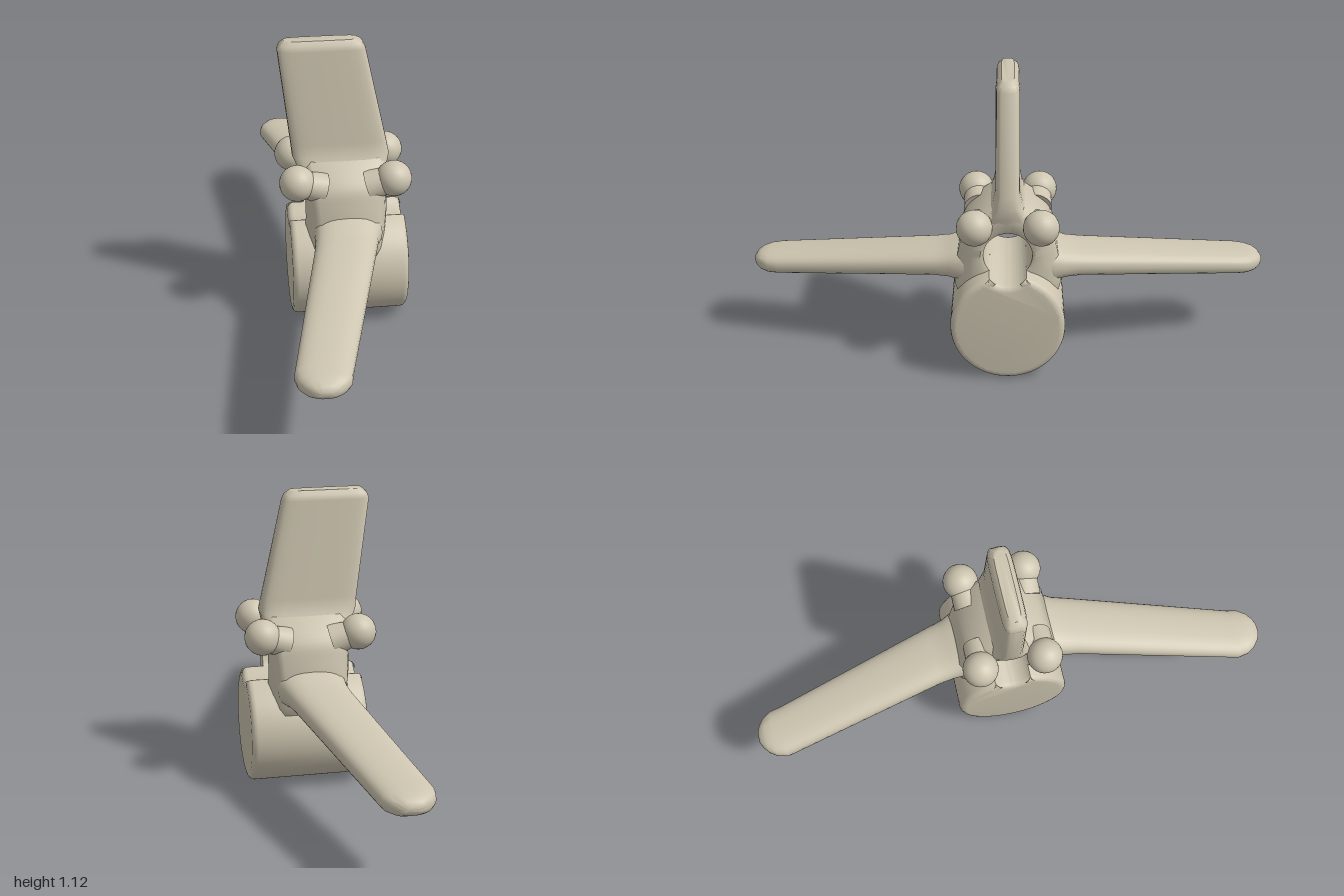
import * as THREE from 'three';
import { toCreasedNormals } from 'three/addons/utils/BufferGeometryUtils.js';

const stone = new THREE.MeshStandardMaterial({ color: 0xcdc5b0 });
stone.name = 'warm stone';

const BORE_Y = 0.48, BORE_R = 0.09;

// Skin a series of equal-length point loops; either capped at the ends or closed in a ring.
function loft(loops, ring, crease) {
  const n = loops[0].length, m = loops.length;
  const pos = [], idx = [];
  loops.forEach(l => l.forEach(p => pos.push(p.x, p.y, p.z)));
  for (let i = 0; i < (ring ? m : m - 1); i++) {
    const a = i * n, b = ((i + 1) % m) * n;
    for (let j = 0; j < n; j++) {
      const k = (j + 1) % n;
      idx.push(a + j, a + k, b + k, a + j, b + k, b + j);
    }
  }
  if (!ring) {
    const e = (m - 1) * n;
    for (let j = 1; j < n - 1; j++) idx.push(0, j + 1, j, e, e + j, e + j + 1);
  }
  const g = new THREE.BufferGeometry();
  g.setAttribute('position', new THREE.Float32BufferAttribute(pos, 3));
  g.setIndex(idx);
  return toCreasedNormals(g, crease);
}

// Rounded section: centre, half chord vector, half thickness vector, squareness.
function section(c, a, b, power) {
  const pts = [];
  for (let i = 0; i < 28; i++) {
    const t = (i / 28) * Math.PI * 2;
    const f = v => Math.sign(v) * Math.pow(Math.abs(v), 2 / power);
    pts.push(c.clone().addScaledVector(a, f(Math.cos(t))).addScaledVector(b, f(Math.sin(t))));
  }
  return pts;
}

const V = (x, y, z) => new THREE.Vector3(x, y, z);

// Upright fin: y, left x, right x, half thickness
function finGeometry() {
  const rows = [
    [0.585, -0.15, 0.16, 0.11], [0.63, -0.165, 0.17, 0.08], [0.67, -0.183, 0.18, 0.056],
    [0.72, -0.188, 0.17, 0.046], [1.09, -0.23, 0.09, 0.044],
    [1.11, -0.222, 0.08, 0.04], [1.125, -0.205, 0.06, 0.024],
  ];
  return loft(rows.map(([y, l, r, t]) =>
    section(V((l + r) / 2, y, 0), V((r - l) / 2, 0, 0), V(0, 0, -t), 5)), false, 0.7);
}

// Swept wing: distance out, centre x, centre y, half chord, half thickness
function wingGeometry(side) {
  const rows = [
    [0.12, 0.01, 0.415, 0.13, 0.085], [0.18, 0.01, 0.41, 0.127, 0.075], [0.22, 0.0, 0.405, 0.118, 0.06],
    [0.28, -0.012, 0.4, 0.115, 0.053], [0.9, -0.158, 0.317, 0.098, 0.044],
    [0.94, -0.158, 0.316, 0.09, 0.041], [0.97, -0.158, 0.316, 0.07, 0.035],
    [0.99, -0.158, 0.316, 0.045, 0.024], [1.0, -0.158, 0.316, 0.022, 0.01],
  ];
  return loft(rows.map(([z, x, y, c, t]) =>
    section(V(x, y, z * side), V(c, 0, 0), V(0, t * side, 0), 2.6)), false, 0.9);
}

// Hub wrapped around the bore; outline points are z, y, half width
function hubGeometry() {
  const half = [
    [0, 0.69, 0.165], [0.05, 0.665, 0.16], [0.11, 0.625, 0.15], [0.155, 0.58, 0.14],
    [0.175, 0.52, 0.13], [0.19, 0.45, 0.125], [0.2, 0.38, 0.125], [0.19, 0.32, 0.13],
    [0.14, 0.26, 0.14], [0, 0.22, 0.15],
  ];
  const full = half.concat(half.slice(1, -1).reverse().map(([z, y, w]) => [-z, y, w]));
  const curve = new THREE.CatmullRomCurve3(full.map(([z, y, w]) => V(w, y, z)), true);
  const loops = [];
  for (let i = 0; i < 64; i++) {
    const p = curve.getPoint(i / 64);
    const dy = p.y - BORE_Y, len = Math.hypot(p.z, dy);
    const at = (t, x) => {
      const r = BORE_R + 0.001 + (len - BORE_R) * t;
      return V(0.01 + x, BORE_Y + (dy / len) * r, (p.z / len) * r);
    };
    const w = p.x;
    loops.push([
      at(0, -0.145), at(0, 0.145), at(0.12, 0.152), at(0.5, (0.152 + w) / 2),
      at(0.85, w * 0.95), at(1, w * 0.8), at(1, -w * 0.8), at(0.85, -w * 0.95),
      at(0.5, -(0.152 + w) / 2), at(0.12, -0.152),
    ]);
  }
  return loft(loops, true, 0.9);
}

// Drum lying along x, with its top notched by the bore
function drumGeometry() {
  const s = new THREE.Shape();
  s.absarc(0, 0.217, 0.215, Math.PI / 2 + 0.325, Math.PI * 2.5 - 0.325, false);
  s.absarc(0, BORE_Y, BORE_R, -Math.PI / 2 + 0.87, -Math.PI / 2 - 0.87, true);
  const bevel = 0.022;
  const g = new THREE.ExtrudeGeometry(s, {
    depth: 0.44 - bevel * 2, curveSegments: 40, bevelEnabled: true,
    bevelThickness: bevel, bevelSize: bevel, bevelOffset: -bevel, bevelSegments: 3,
  });
  g.translate(0, 0, -0.2 + bevel);
  g.rotateY(Math.PI / 2);
  return toCreasedNormals(g, 0.6);
}

export function createModel() {
  const model = new THREE.Group();
  model.name = 'finnedRotor';
  const add = (name, geometry) => {
    const mesh = new THREE.Mesh(geometry, stone);
    mesh.name = name;
    model.add(mesh);
    return mesh;
  };

  add('drum', drumGeometry());
  add('hub', hubGeometry());
  add('topFin', finGeometry());
  add('frontWing', wingGeometry(1));
  add('backWing', wingGeometry(-1));

  // Four corner knobs on short necks
  for (const sx of [-1, 1]) {
    for (const sz of [-1, 1]) {
      const centre = V(sx * 0.179 + 0.006, 0.608, sz * 0.122);
      const root = V(sx * 0.085 + 0.008, 0.575, sz * 0.108);
      const label = (sz > 0 ? 'front' : 'back') + (sx > 0 ? 'Left' : 'Right');
      add(label + 'Knob', new THREE.SphereGeometry(0.067, 24, 16)).position.copy(centre);
      const dir = centre.clone().sub(root);
      const neck = add(label + 'Neck', new THREE.CylinderGeometry(0.046, 0.06, dir.length(), 20));
      neck.position.copy(root).addScaledVector(dir, 0.5);
      neck.quaternion.setFromUnitVectors(V(0, 1, 0), dir.normalize());
    }
  }
  return model;
}
